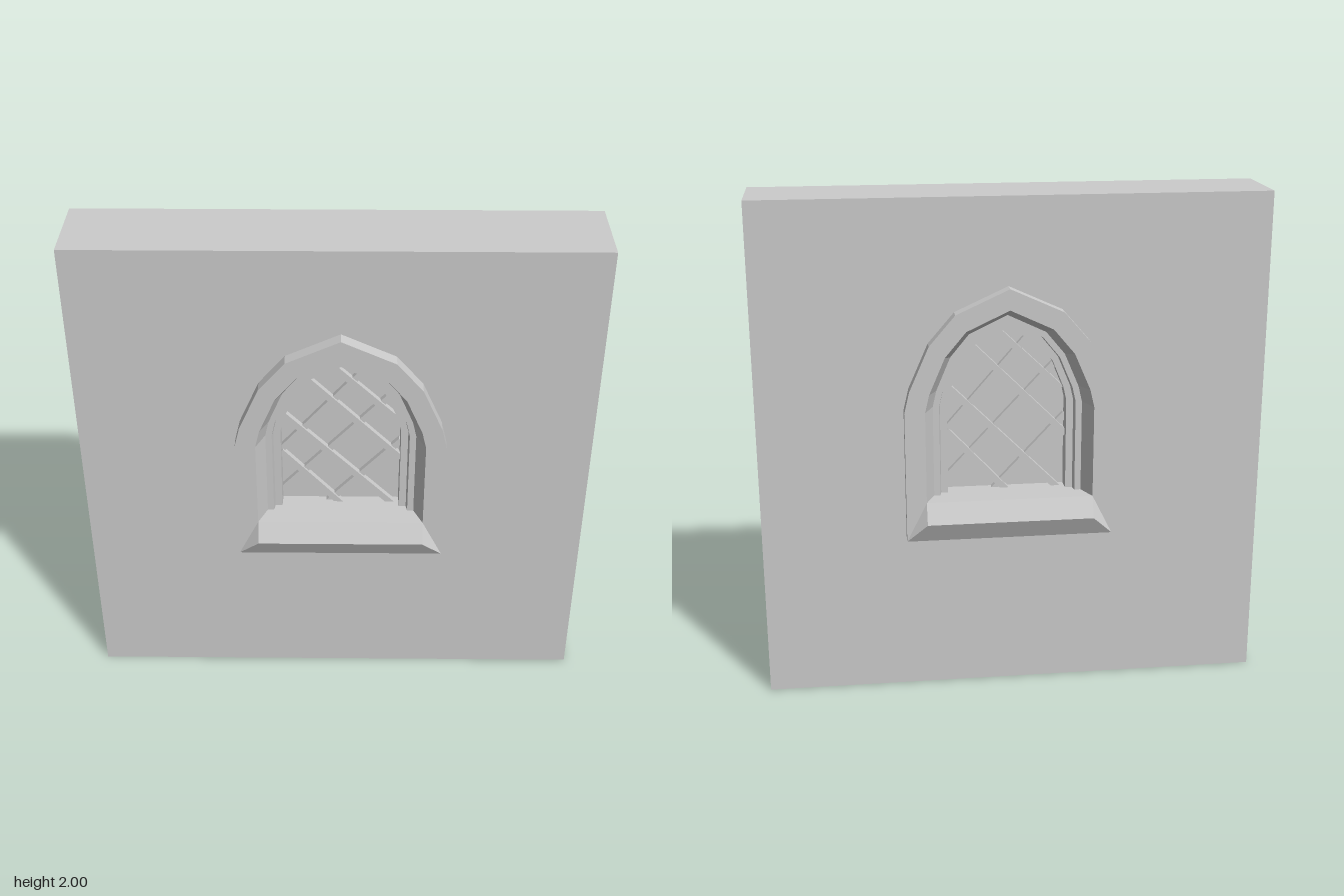
import * as THREE from 'three';

const CX = 0.02;       // window centre
const SILL = 0.81;     // top of the sill
const SPRING = 1.18;   // where the arch starts

// Pointed arch outline (left foot, over the peak, right foot) for a half width
function archPoints(hw, base) {
  const fx = [1, 0.95, 0.76, 0.51, 0], fy = [0, 0.18, 0.55, 0.8, 1];
  const rise = 1.235 + hw * 1.03 - SPRING;
  const left = fx.map((f, i) => [-hw * f, SPRING + rise * fy[i]]);
  const right = left.slice(0, -1).reverse().map(([x, y]) => [-x, y]);
  return [[-hw, base], ...left, ...right, [hw, base]];
}

const archVectors = (hw, base, dx = 0) =>
  archPoints(hw, base).map(([x, y]) => new THREE.Vector2(x + dx, y));

// Flat-shaded geometry from a list of quads and triangles
function facets(faces) {
  const pos = [];
  for (const f of faces)
    for (let i = 1; i < f.length - 1; i++) pos.push(...f[0], ...f[i], ...f[i + 1]);
  const g = new THREE.BufferGeometry();
  g.setAttribute('position', new THREE.Float32BufferAttribute(pos, 3));
  g.computeVertexNormals();
  return g;
}

// Sweeps a profile of [half width, z] along the arch
function archSweep(profile) {
  const rings = profile.map(([hw, z]) => archPoints(hw, SILL).map(([x, y]) => [x, y, z]));
  const faces = [];
  for (let j = 0; j < rings.length - 1; j++)
    for (let i = 0; i < rings[j].length - 1; i++)
      faces.push([rings[j][i], rings[j + 1][i], rings[j + 1][i + 1], rings[j][i + 1]]);
  return facets(faces);
}

export function createModel() {
  const model = new THREE.Group();
  const stone = new THREE.MeshStandardMaterial({ color: 0xcccccc, flatShading: true });
  const add = (parent, name, geometry) => {
    const mesh = new THREE.Mesh(geometry, stone);
    mesh.name = name;
    parent.add(mesh);
    return mesh;
  };

  // Wall with an arched opening hidden behind the surround
  const wallShape = new THREE.Shape([[-1, 0], [1, 0], [1, 2], [-1, 2]].map(p => new THREE.Vector2(...p)));
  wallShape.holes.push(new THREE.Path(archVectors(0.37, 0.7, CX)));
  add(model, 'wall', new THREE.ExtrudeGeometry(wallShape, { depth: 0.33, bevelEnabled: false }).translate(0, 0, -0.165));

  // Window pane
  const paneShape = new THREE.Shape(archVectors(0.245, 0.78));
  add(model, 'pane', new THREE.ExtrudeGeometry(paneShape, { depth: 0.1, bevelEnabled: false }).translate(CX, 0, -0.05));

  // Each face of the wall carries the same surround, frame, sill and lattice
  for (const [name, turn] of [['frontWindow', 0], ['backWindow', Math.PI]]) {
    const side = new THREE.Group();
    side.name = name;
    side.position.x = CX;
    side.rotation.y = turn;
    model.add(side);

    // Stone surround with splayed reveal, then the stepped inner frame
    add(side, 'surround', archSweep([[0.41, 0.15], [0.41, 0.22], [0.33, 0.22], [0.295, 0.14]]));
    add(side, 'frame', archSweep([[0.295, 0.14], [0.27, 0.14], [0.265, 0.11], [0.237, 0.11], [0.235, 0.04]]));

    // Sill block and its ridged nose
    add(side, 'sill', new THREE.BoxGeometry(0.82, SILL - 0.65, 0.22).translate(0, (SILL + 0.65) / 2, 0.11));
    const [a, b] = [[-0.41, 0.65, 0.22], [0.41, 0.65, 0.22]];
    const [c, d] = [[0.33, 0.73, 0.26], [-0.33, 0.73, 0.26]];
    const [e, f] = [[0.33, SILL, 0.22], [-0.33, SILL, 0.22]];
    add(side, 'sillNose', facets([[a, b, c, d], [d, c, e, f], [b, e, c], [a, d, f]]));

    // Diagonal lattice bars: start x, y, end x, y, centre z
    const bars = [
      [-0.13, 1.40, 0.24, 1.03, 0.07], [-0.24, 1.25, 0.22, 0.79, 0.07], [-0.24, 1.06, 0.01, 0.79, 0.07],
      [-0.04, 1.47, 0.22, 1.22, 0.07],
      [0.10, 1.45, -0.24, 1.06, 0.06], [0.21, 1.34, -0.24, 0.86, 0.06], [0.24, 1.11, -0.06, 0.79, 0.06],
    ];
    for (const [x1, y1, x2, y2, z] of bars) {
      const bar = add(side, 'latticeBar', new THREE.BoxGeometry(Math.hypot(x2 - x1, y2 - y1), 0.026, 0.025));
      bar.position.set((x1 + x2) / 2, (y1 + y2) / 2, z);
      bar.rotation.z = Math.atan2(y2 - y1, x2 - x1);
    }
  }
  return model;
}
